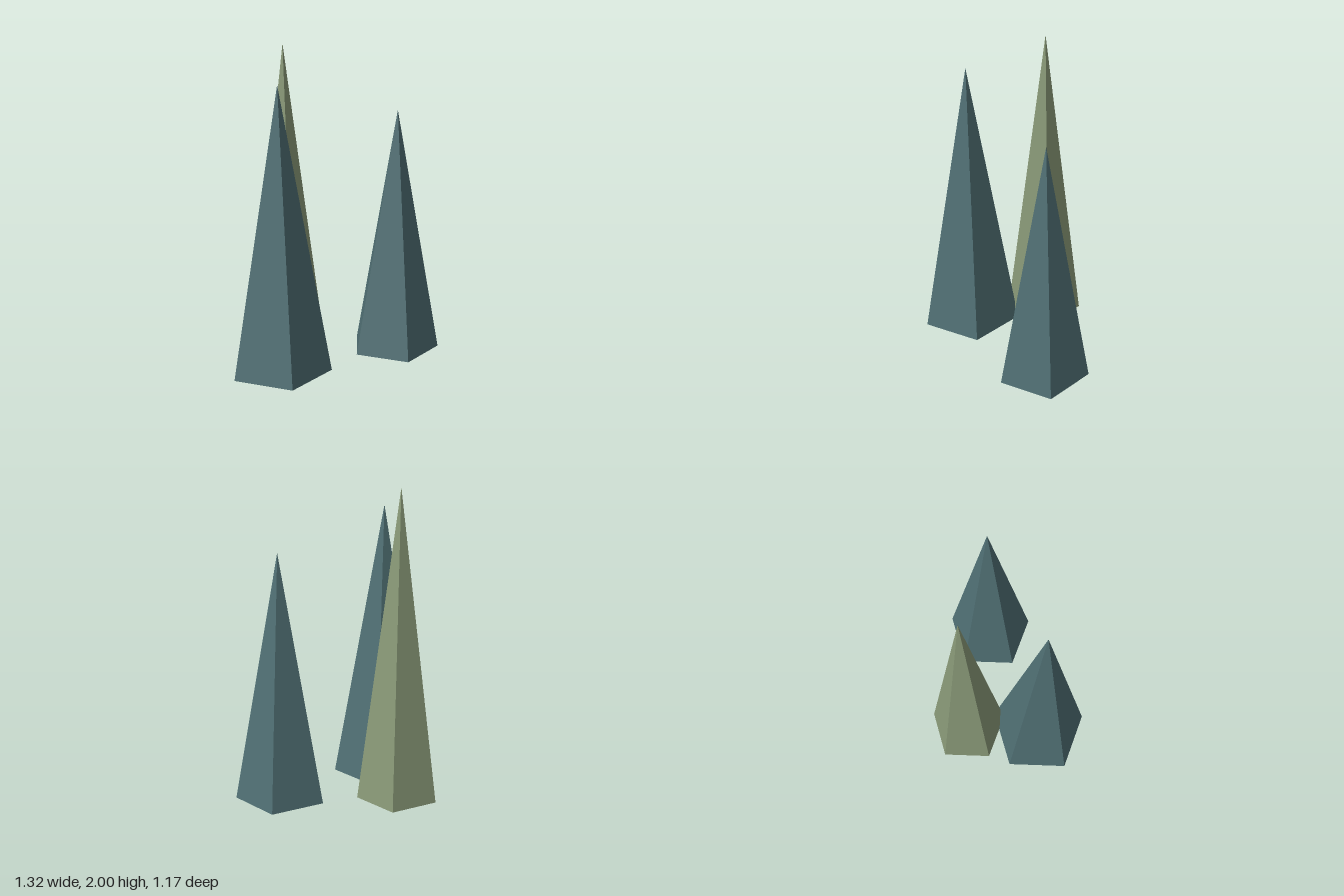
import * as THREE from 'three';

export function createModel() {
  const group = new THREE.Group();
  const teal = new THREE.MeshStandardMaterial({ color: 0x507074 });
  teal.name = 'dark teal';
  const sage = new THREE.MeshStandardMaterial({ color: 0x8a9a78 });
  sage.name = 'sage green';
  teal.flatShading = sage.flatShading = true;

  // Five-sided spire with one corner pointing to the back
  function spire(name, material, x, z, radius, base, top) {
    const geometry = new THREE.ConeGeometry(radius, top - base, 5);
    geometry.rotateY(Math.PI);
    const mesh = new THREE.Mesh(geometry, material);
    mesh.name = name;
    mesh.position.set(x, (base + top) / 2, z);
    group.add(mesh);
  }

  spire('rightTree', teal, -0.35, -0.024, 0.33, 0, 1.815);
  spire('backTree', sage, 0.048, -0.32, 0.264, 0.02, 2);
  spire('frontTree', teal, 0.378, 0.343, 0.296, 0.02, 1.605);

  return group;
}
